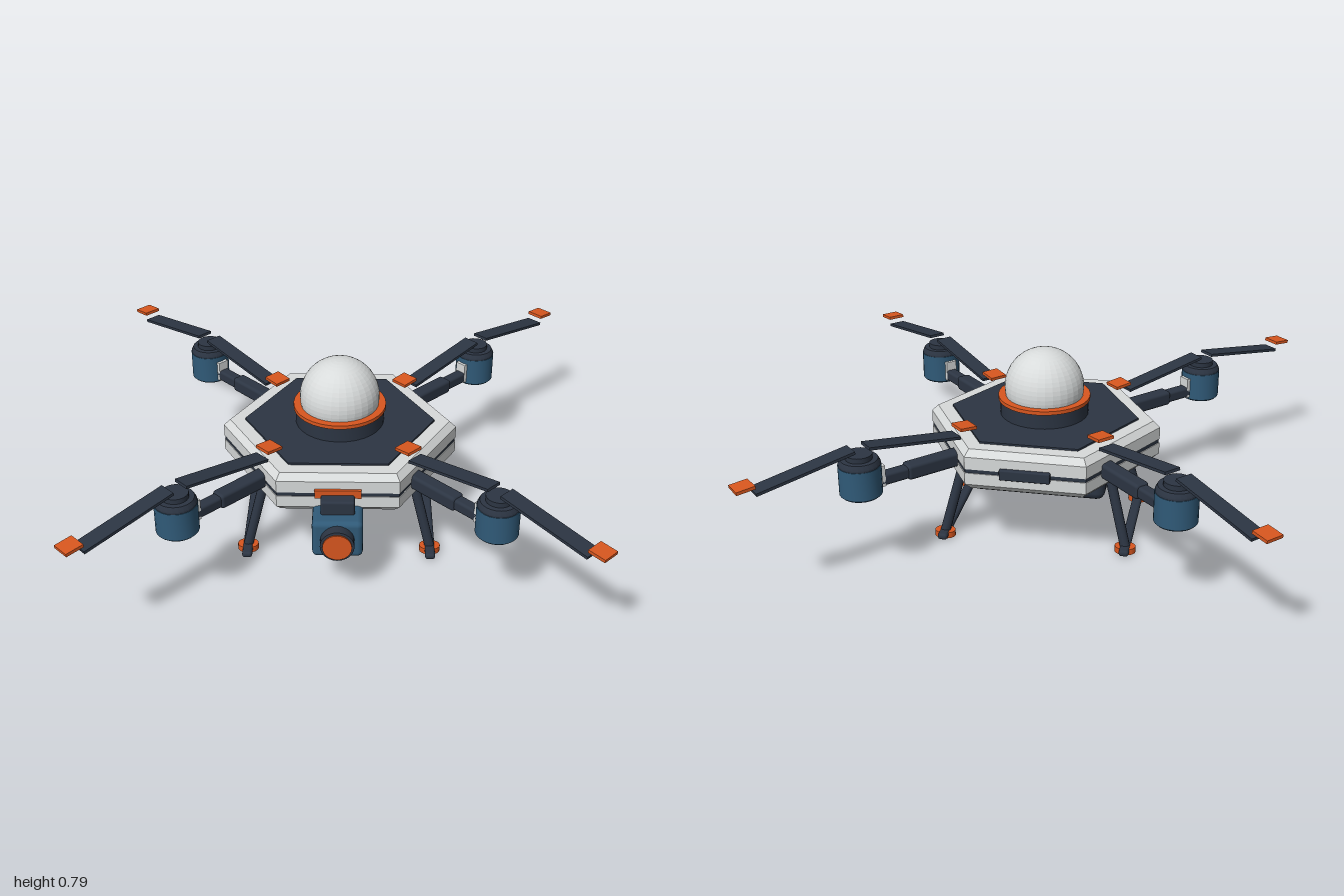
import * as THREE from 'three';
import { toCreasedNormals } from 'three/addons/utils/BufferGeometryUtils.js';
import { RoundedBoxGeometry } from 'three/addons/geometries/RoundedBoxGeometry.js';

const material = (name, color) => {
  const m = new THREE.MeshStandardMaterial({ color });
  m.name = name;
  return m;
};

export function createModel() {
  const light = material('lightGrey', 0xd8dbdb);
  const dark = material('darkSlate', 0x2c3543);
  const blue = material('steelBlue', 0x305a78);
  const orange = material('orange', 0xd9571f);

  const model = new THREE.Group();
  model.name = 'quadcopter';

  const add = (parent, name, geo, mat, x = 0, y = 0, z = 0) => {
    const mesh = new THREE.Mesh(geo, mat);
    mesh.name = name;
    mesh.position.set(x, y, z);
    parent.add(mesh);
    return mesh;
  };
  const group = (parent, name) => {
    const g = new THREE.Group();
    g.name = name;
    parent.add(g);
    return g;
  };
  const box = (w, h, d) => new THREE.BoxGeometry(w, h, d);
  const round = (w, h, d, r) => new RoundedBoxGeometry(w, h, d, 2, r);
  // Turned shape from [radius, height] pairs, bottom to top
  const turned = (points, sides, crease = 0.5) => toCreasedNormals(
    new THREE.LatheGeometry(points.map(([r, y]) => new THREE.Vector2(r, y)), sides), crease);
  // Six-sided turned shape with corners on the x axis
  const hex = (points) => turned(points, 6, 0.1).rotateY(Math.PI / 6);

  // Hull: two chamfered shells with a dark seam, and a deck plate
  add(model, 'lowerShell', hex([[0, 0.32], [0.455, 0.32], [0.49, 0.35], [0.49, 0.4], [0, 0.4]]), light);
  add(model, 'seam', hex([[0, 0.399], [0.486, 0.399], [0.486, 0.418], [0, 0.418]]), dark);
  add(model, 'upperShell', hex([[0, 0.417], [0.49, 0.417], [0.49, 0.47], [0.462, 0.497], [0, 0.497]]), light);
  add(model, 'deckPlate', hex([[0, 0.495], [0.398, 0.495], [0.398, 0.505], [0, 0.505]]), dark);

  // Sensor dome
  add(model, 'domeCollar', turned([[0, 0.5], [0.185, 0.5], [0.185, 0.572], [0, 0.572]], 32), dark);
  add(model, 'domeRing', turned([[0, 0.57], [0.193, 0.57], [0.193, 0.586], [0, 0.586]], 32), orange);
  add(model, 'dome', toCreasedNormals(
    new THREE.SphereGeometry(0.166, 32, 16, 0, Math.PI * 2, 0, 1.79), 0.1), light, 0, 0.62, 0);

  // Arms, motors and propellers, each built along +x and turned to a diagonal
  const motorR = 0.867;
  const slope = 0.15;
  for (let i = 0; i < 4; i++) {
    const arm = group(model, 'armAssembly');
    arm.rotation.y = Math.PI / 4 + i * Math.PI / 2;
    add(arm, 'arm', round(0.46, 0.05, 0.05, 0.012), dark, 0.59, 0.41, 0);
    add(arm, 'armSleeve', round(0.28, 0.064, 0.064, 0.014), dark, 0.53, 0.411, 0);
    add(arm, 'motorClamp', box(0.03, 0.09, 0.05), light, 0.785, 0.43, 0);
    add(arm, 'motor', turned([[0, 0.37], [0.078, 0.37], [0.085, 0.377], [0.085, 0.498], [0, 0.498]], 24),
      blue, motorR);
    add(arm, 'motorCap', turned([[0, 0.497], [0.083, 0.497], [0.083, 0.506], [0.074, 0.524], [0, 0.524]], 24),
      dark, motorR);
    add(arm, 'motorHub', turned([[0, 0.52], [0.053, 0.52], [0.053, 0.545], [0, 0.545]], 20), dark, motorR);

    const propeller = group(arm, 'propeller');
    propeller.position.x = motorR;
    for (const side of [1, -1]) {
      const blade = add(propeller, 'blade', box(0.41, 0.012, 0.072), dark, side * 0.233, 0.537, 0);
      blade.rotation.z = -side * slope;
      const tip = add(propeller, 'bladeTip', box(0.075, 0.013, 0.075), orange, side * 0.473, 0.537, 0);
      tip.rotation.z = -side * 0.08;
    }
  }

  // Battery pack
  add(model, 'battery', round(0.57, 0.13, 0.36, 0.035), dark, 0, 0.255, 0);
  add(model, 'batteryLatch', round(0.1, 0.034, 0.08, 0.008), blue, 0, 0.25, 0.212);
  for (const s of [1, -1]) add(model, 'batteryLabel', box(0.008, 0.034, 0.086), orange, s * 0.286, 0.25, 0);

  // Gimbal camera
  const camera = group(model, 'camera');
  add(camera, 'bracket', box(0.186, 0.036, 0.024), orange, 0, 0.418, 0.425);
  add(camera, 'hanger', round(0.135, 0.07, 0.07, 0.01), dark, 0, 0.38, 0.452);
  add(camera, 'cameraBody', round(0.202, 0.165, 0.152, 0.022), blue, 0, 0.273, 0.47);
  const lens = turned([[0, 0], [0.068, 0], [0.068, 0.048], [0.06, 0.05], [0, 0.05]], 24).rotateX(Math.PI / 2);
  add(camera, 'lensBarrel', lens, dark, 0, 0.275, 0.54);
  add(camera, 'lensGlass', new THREE.CylinderGeometry(0.058, 0.058, 0.008, 24).rotateX(Math.PI / 2),
    orange, 0, 0.275, 0.592);

  // Rear port cover
  add(model, 'rearPort', round(0.205, 0.045, 0.03, 0.006), dark, 0, 0.41, -0.427);

  // Landing gear
  const up = new THREE.Vector3(0, 1, 0);
  for (const sx of [1, -1]) {
    const gear = group(model, 'landingGear');
    add(gear, 'skid', round(0.042, 0.028, 0.61, 0.012), dark, sx * 0.385, 0.018, 0.01);
    for (const sz of [1, -1]) {
      const top = new THREE.Vector3(sx * 0.308, 0.325, sz * 0.19);
      const foot = new THREE.Vector3(sx * 0.385, 0.02, sz * 0.235);
      const dir = top.clone().sub(foot);
      const leg = add(gear, 'leg', new THREE.CylinderGeometry(0.021, 0.021, dir.length(), 10), dark);
      leg.position.copy(top).add(foot).multiplyScalar(0.5);
      leg.quaternion.setFromUnitVectors(up, dir.normalize());
      const clamp = add(gear, 'footClamp', new THREE.CylinderGeometry(0.044, 0.044, 0.026, 16), orange,
        sx * 0.385, 0.013, sz * 0.235);
      clamp.scale.z = 0.8;
    }
  }
  return model;
}
